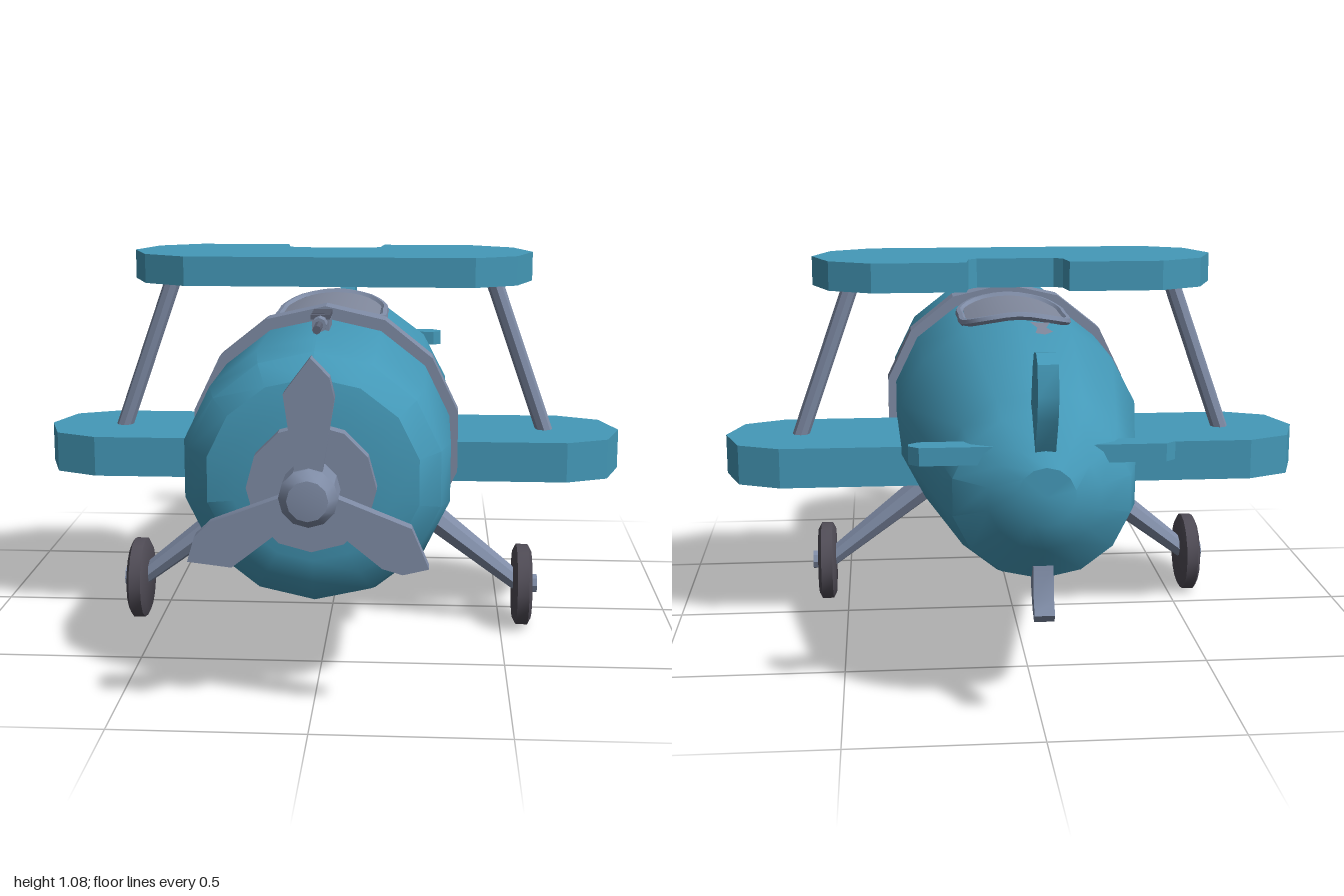
import * as THREE from 'three';
import { toCreasedNormals } from 'three/addons/utils/BufferGeometryUtils.js';

const mat = (name, color, side = THREE.FrontSide) => {
  const m = new THREE.MeshStandardMaterial({ color, side });
  m.name = name;
  return m;
};

export function createModel() {
  const plane = new THREE.Group();
  plane.name = 'biplane';
  const teal = mat('teal paint', 0x4499b8);
  const steel = mat('blue grey metal', 0x7f8ca6);
  const panel = mat('cockpit grey', 0x80889c, THREE.DoubleSide);
  const rubber = mat('dark rubber', 0x504c56);
  const gunMetal = mat('gun metal', 0x5c6274);
  const CY = 0.585; // height of the thrust line

  const add = (name, geo, material, x = 0, y = 0, z = 0, crease = 0.5) => {
    const mesh = new THREE.Mesh(toCreasedNormals(geo, crease), material);
    mesh.name = name;
    mesh.position.set(x, y, z);
    plane.add(mesh);
    return mesh;
  };
  const outline = pts => new THREE.Shape(pts.map(p => new THREE.Vector2(p[0], p[1])));
  const slab = (pts, depth) =>
    new THREE.ExtrudeGeometry(outline(pts), { depth, bevelEnabled: false });
  const cylZ = (r1, r2, len, n) => new THREE.CylinderGeometry(r1, r2, len, n).rotateX(Math.PI / 2);

  // Lofted body; each section is [z, top, bottom, half width], front to back
  const loft = (sections, n) => {
    const pos = [], idx = [];
    for (const [z, top, bottom, w] of sections)
      for (let i = 0; i < n; i++) {
        const a = (i / n) * Math.PI * 2;
        pos.push(w * Math.sin(a), (top + bottom) / 2 + (top - bottom) / 2 * Math.cos(a), z);
      }
    const last = sections.length - 1;
    for (let j = 0; j < last; j++)
      for (let i = 0; i < n; i++) {
        const k = (i + 1) % n, a = j * n + i, b = j * n + k;
        idx.push(a, b, a + n, b, b + n, a + n);
      }
    for (const j of [0, last]) {
      const c = pos.length / 3, s = sections[j];
      pos.push(0, (s[1] + s[2]) / 2, s[0]);
      for (let i = 0; i < n; i++) {
        const a = j * n + i, b = j * n + (i + 1) % n;
        idx.push(c, j ? a : b, j ? b : a);
      }
    }
    const g = new THREE.BufferGeometry();
    g.setAttribute('position', new THREE.Float32BufferAttribute(pos, 3));
    g.setIndex(idx);
    g.computeVertexNormals();
    return g;
  };

  // Fuselage
  add('fuselage', loft([
    [0.83, 0.78, 0.39, 0.2], [0.815, 0.85, 0.33, 0.27], [0.755, 0.905, 0.265, 0.325],
    [0.67, 0.927, 0.24, 0.35], [0.25, 0.927, 0.24, 0.35], [0.1, 0.927, 0.26, 0.347],
    [-0.2, 0.925, 0.29, 0.342], [-0.8, 0.84, 0.358, 0.245], [-0.86, 0.8, 0.375, 0.225],
    [-0.93, 0.73, 0.47, 0.14], [-0.97, 0.685, 0.54, 0.072],
  ], 14), teal, 0, 0, 0, 0.6);

  // Band around the body
  add('bodyBand', cylZ(0.375, 0.375, 0.075, 14), steel, 0, CY, 0.288, 0.3);

  // Engine plate, hub and propeller
  add('enginePlate', cylZ(0.16, 0.16, 0.05, 12), steel, 0, CY, 0.848, 0.3);
  const hub = [[0, 0], [0.072, 0], [0.072, 0.1], [0.05, 0.13], [0, 0.135]];
  add('propellerHub', new THREE.LatheGeometry(hub.map(p => new THREE.Vector2(p[0], p[1])), 12)
    .rotateX(Math.PI / 2), steel, 0, CY, 0.865);
  const blade = [[-0.03, 0.04], [0.03, 0.04], [0.062, 0.24], [0.05, 0.29], [0.005, 0.337], [-0.06, 0.25]];
  for (let i = 0; i < 3; i++)
    add('propellerBlade', slab(blade, 0.04).rotateZ(i * Math.PI * 2 / 3), steel, 0, CY, 0.917);

  // Wings, mirrored from a half outline of (x, -z)
  const wing = (name, half, y, thick) => {
    const pts = [...half, ...half.slice().reverse().map(p => [-p[0], p[1]])];
    add(name, slab(pts, thick).rotateX(-Math.PI / 2), teal, 0, y, 0, 0.3);
  };
  wing('upperWing', [[0.41, -0.195], [0.53, -0.13], [0.58, 0], [0.53, 0.13], [0.41, 0.195],
    [0.145, 0.195], [0.135, 0.12], [0.11, 0.1]], 0.997, 0.083);
  wing('lowerWing', [[0.68, -0.195], [0.8, -0.14], [0.845, 0], [0.8, 0.14], [0.68, 0.195]], 0.442, 0.115);

  // A tapered rod between two points
  const rod = (name, a, b, rA, rB, stretchZ, n) => {
    const from = new THREE.Vector3(...a), to = new THREE.Vector3(...b);
    const dir = to.clone().sub(from);
    const g = new THREE.CylinderGeometry(rB, rA, dir.length(), n).scale(1, 1, stretchZ);
    const mid = from.clone().add(to).multiplyScalar(0.5);
    const mesh = add(name, g, steel, mid.x, mid.y, mid.z, 0.4);
    mesh.quaternion.setFromUnitVectors(new THREE.Vector3(0, 1, 0), dir.normalize());
  };

  for (const s of [1, -1]) {
    // Wing strut, landing leg, wheel and axle
    rod('wingStrut', [s * 0.635, 0.53, 0], [s * 0.465, 1.01, 0], 0.024, 0.024, 1.05, 8);
    rod('landingLeg', [s * 0.22, 0.385, 0.14], [s * 0.56, 0.12, 0.14], 0.042, 0.026, 1.5, 8);
    const tyre = [[0, -0.022], [0.1, -0.022], [0.118, -0.014], [0.118, 0.014], [0.1, 0.022], [0, 0.022]];
    add('wheel', new THREE.LatheGeometry(tyre.map(p => new THREE.Vector2(p[0], p[1] * 1.2)), 16)
      .rotateZ(Math.PI / 2), rubber, s * 0.563, 0.12, 0.14);
    add('axleCap', new THREE.CylinderGeometry(0.028, 0.028, 0.07, 8).rotateZ(Math.PI / 2),
      steel, s * 0.572, 0.123, 0.14);
    // Tailplane
    const tip = [[0.12, 0.83], [0.3, 0.83], [0.325, 0.85], [0.325, 0.87], [0.3, 0.892], [0.12, 0.892]];
    const half = s > 0 ? tip : tip.map(p => [-p[0], p[1]]).reverse();
    add('tailplane', slab(half, 0.045).rotateX(-Math.PI / 2), teal, 0, 0.675, 0);
  }

  // Fin and tail skid, drawn as (-z, y)
  const upright = (name, pts, width, material) =>
    add(name, slab(pts, width).translate(0, 0, -width / 2).rotateY(Math.PI / 2), material);
  upright('tailFin', [[0.83, 0.8], [0.93, 0.7], [0.985, 0.8], [1.0, 0.86], [0.985, 0.935],
    [0.95, 0.957], [0.9, 0.95], [0.87, 0.91]], 0.05, teal);
  upright('tailSkid', [[0.83, 0.4], [0.85, 0.35], [0.885, 0.305], [0.925, 0.285], [0.94, 0.305],
    [0.915, 0.34], [0.9, 0.42]], 0.05, steel);

  // Cockpit floor draped over the body, with a raised rim
  const drape = (x, lift) => CY + Math.sqrt(0.344 ** 2 - x * x) + lift;
  const floor = new THREE.PlaneGeometry(0.28, 0.4, 8, 10).rotateX(-Math.PI / 2);
  const fp = floor.attributes.position;
  for (let i = 0; i < fp.count; i++) {
    const z = fp.getZ(i), x = fp.getX(i) * (1 - 0.3 * Math.abs(z / 0.2) ** 6);
    fp.setXYZ(i, x, drape(x, 0.004), z);
  }
  add('cockpitFloor', floor, panel, 0, 0, -0.01);
  const rimPts = [[0, 0.2], [0.1, 0.19], [0.145, 0.13], [0.15, 0], [0.145, -0.13], [0.1, -0.205],
    [0, -0.22], [-0.1, -0.205], [-0.145, -0.13], [-0.15, 0], [-0.145, 0.13], [-0.1, 0.19]];
  const rim = new THREE.CatmullRomCurve3(
    rimPts.map(([x, z]) => new THREE.Vector3(x, drape(x, 0.004), z)), true);
  add('cockpitRim', new THREE.TubeGeometry(rim, 36, 0.012, 6, true), steel);

  // Pale patch behind the cockpit
  const patch = outline([[-0.085, 0.24], [-0.03, 0.235], [-0.045, 0.29], [-0.035, 0.34],
    [-0.06, 0.355], [-0.085, 0.33], [-0.07, 0.29]]);
  add('deckPatch', new THREE.ShapeGeometry(patch).rotateX(-Math.PI / 2).rotateX(-0.13),
    panel, 0, 0.947, 0);

  // Gun on the nose
  add('gunBody', new THREE.BoxGeometry(0.045, 0.035, 0.13), steel, 0, 0.94, 0.465);
  for (let i = 0; i < 4; i++)
    add('gunRib', new THREE.BoxGeometry(0.05, 0.012, 0.016), gunMetal, 0, 0.959, 0.425 + i * 0.035);
  add('gunSleeve', cylZ(0.019, 0.019, 0.06, 8), steel, 0, 0.945, 0.555);
  add('gunBarrel', cylZ(0.011, 0.011, 0.11, 8), gunMetal, 0, 0.945, 0.615);

  return plane;
}
